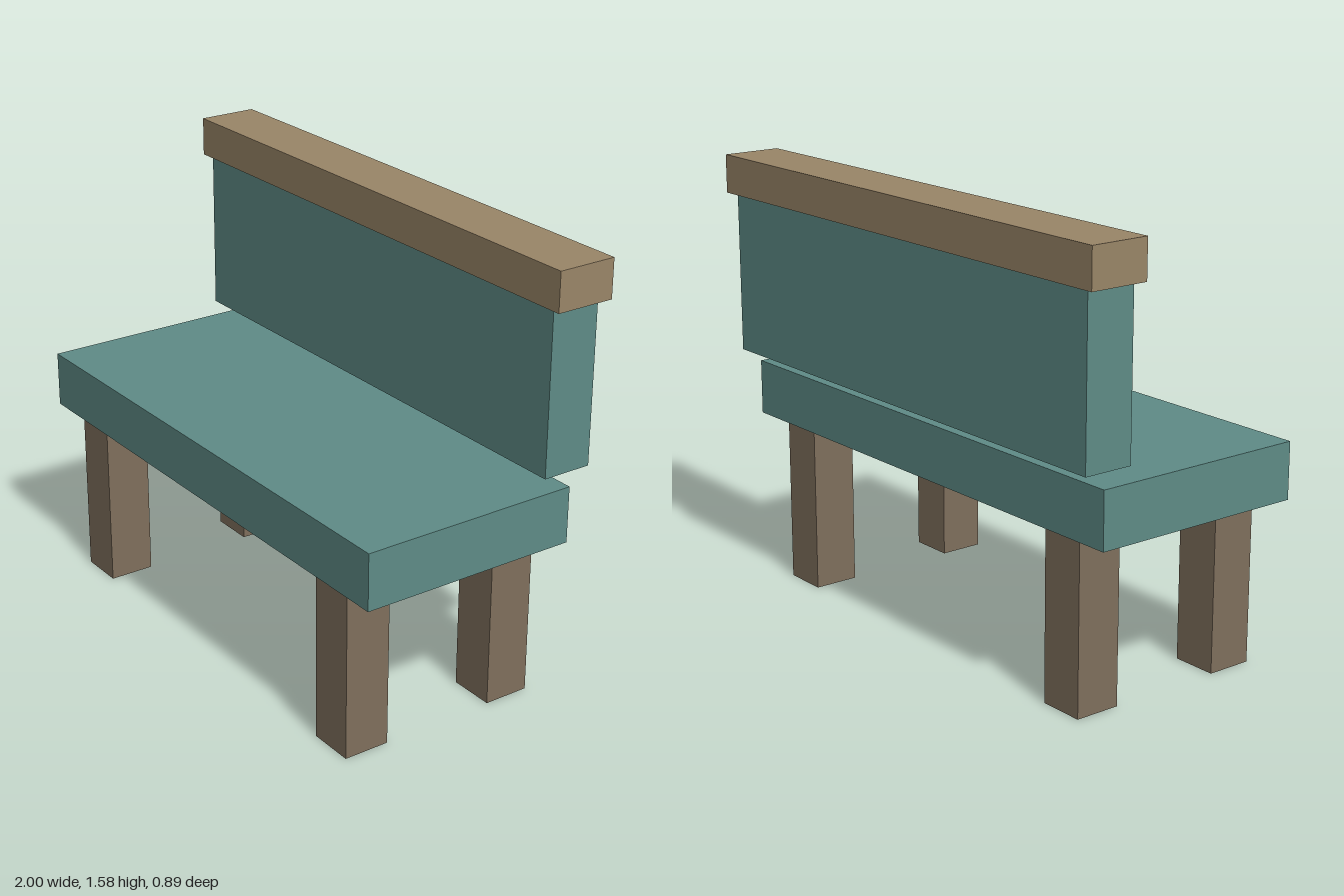
import * as THREE from 'three';

const material = (name, color) => {
  const m = new THREE.MeshStandardMaterial({ color });
  m.name = name;
  return m;
};

// Box given by its minimum and maximum on each axis
function box(name, mat, [x0, x1], [y0, y1], [z0, z1]) {
  const mesh = new THREE.Mesh(new THREE.BoxGeometry(x1 - x0, y1 - y0, z1 - z0), mat);
  mesh.position.set((x0 + x1) / 2, (y0 + y1) / 2, (z0 + z1) / 2);
  mesh.name = name;
  return mesh;
}

export function createModel() {
  const teal = material('teal upholstery', 0x5f8c87);
  const lightWood = material('light wood', 0x9a8668);
  const darkWood = material('dark wood', 0x80705d);

  const bench = new THREE.Group();
  bench.name = 'bench';

  // Seat, floating backrest and its top rail
  bench.add(
    box('seat', teal, [-0.96, 0.96], [0.61, 0.81], [-0.352, 0.447]),
    box('backrest', teal, [-0.96, 0.96], [0.865, 1.442], [-0.427, -0.246]),
    box('topRail', lightWood, [-1, 1], [1.442, 1.58], [-0.447, -0.231])
  );

  // Four square legs
  for (const [side, x] of [['Left', 0.738], ['Right', -0.738]]) {
    for (const [end, z] of [['front', 0.341], ['back', -0.244]]) {
      const h = 0.083;
      bench.add(box(`${end}${side}Leg`, darkWood, [x - h, x + h], [0, 0.61], [z - h, z + h]));
    }
  }
  return bench;
}
